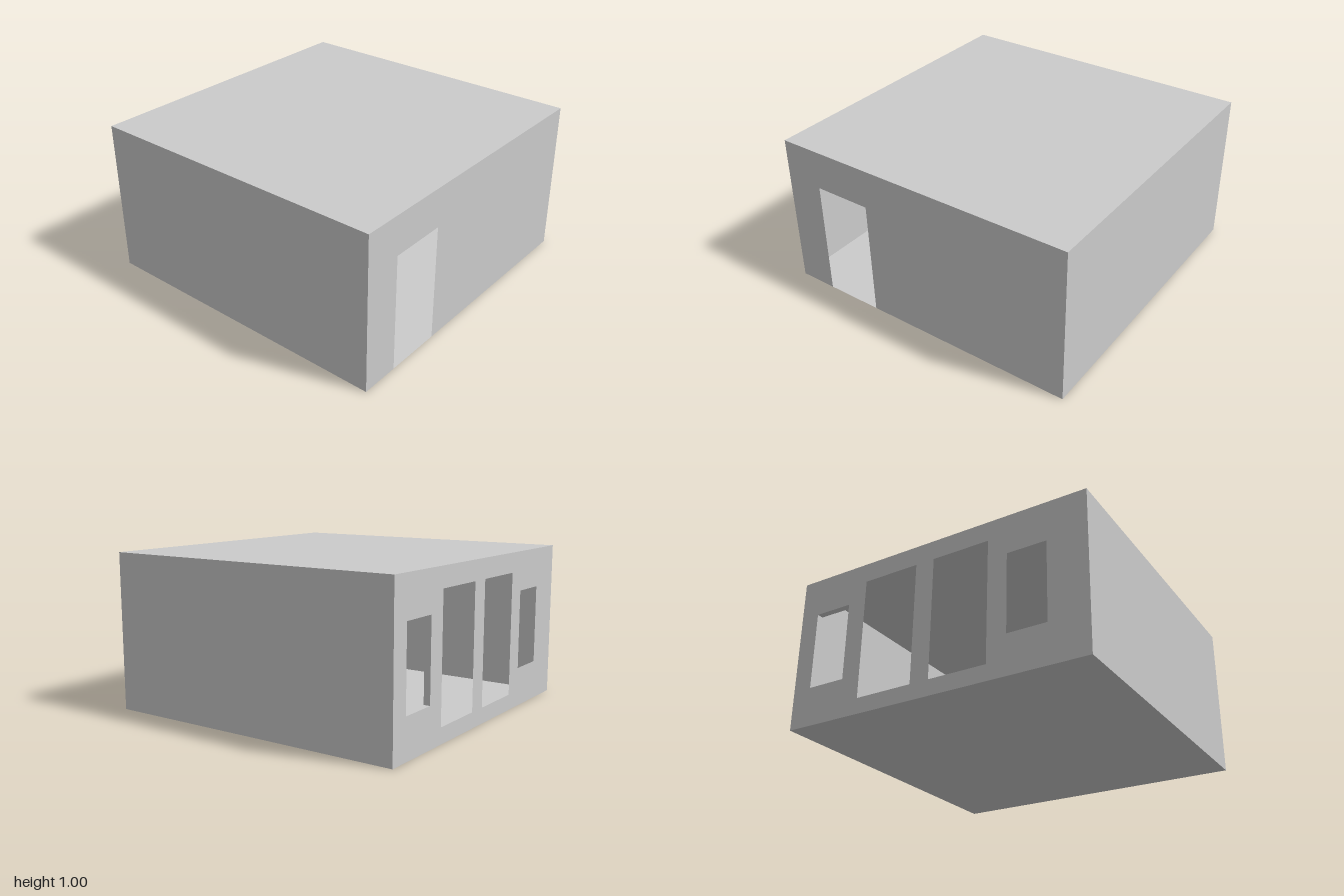
import * as THREE from 'three';

const material = new THREE.MeshStandardMaterial({ color: 0xcccccc, side: THREE.DoubleSide, flatShading: true });

// Closed outline from corner points
function outline(points, Type = THREE.Shape) {
  return new Type(points.map(([x, y]) => new THREE.Vector2(x, y)));
}

function rectangle(x0, x1, y0, y1, Type) {
  return outline([[x0, y0], [x1, y0], [x1, y1], [x0, y1]], Type);
}

function addPanel(group, name, geometry) {
  const mesh = new THREE.Mesh(geometry, material);
  mesh.name = name;
  group.add(mesh);
  return mesh;
}

export function createModel() {
  const room = new THREE.Group();
  room.name = 'room';

  // Floor and roof
  addPanel(room, 'floor', new THREE.PlaneGeometry(2, 2).rotateX(Math.PI / 2));
  addPanel(room, 'roof', new THREE.PlaneGeometry(2, 2).rotateX(-Math.PI / 2).translate(0, 1, 0));

  // Solid front and back walls
  addPanel(room, 'frontWall', new THREE.PlaneGeometry(2, 1).translate(0, 0.5, 1));
  addPanel(room, 'backWall', new THREE.PlaneGeometry(2, 1).rotateY(Math.PI).translate(0, 0.5, -1));

  // Left wall with a doorway down to the floor (shape x runs along -z)
  const doorWall = outline([
    [-1, 0], [-0.75, 0], [-0.75, 0.75], [-0.375, 0.75], [-0.375, 0], [1, 0], [1, 1], [-1, 1],
  ]);
  addPanel(room, 'doorWall', new THREE.ShapeGeometry(doorWall).rotateY(Math.PI / 2).translate(1, 0, 0));

  // Right wall with two windows and two tall openings (shape x runs along +z)
  const windowWall = rectangle(-1, 1, 0, 1);
  const openings = [
    [-0.875, -0.625, 0.25, 0.75],
    [-0.5, -0.125, 0.1, 0.875],
    [0, 0.375, 0.1, 0.875],
    [0.5, 0.75, 0.25, 0.75],
  ];
  for (const o of openings) windowWall.holes.push(rectangle(...o, THREE.Path));
  addPanel(room, 'windowWall', new THREE.ShapeGeometry(windowWall).rotateY(-Math.PI / 2).translate(-1, 0, 0));

  // Shallow reveal around the rear window
  const [z0, z1, y0, y1] = openings[0];
  const depth = 0.04;
  const reveal = new THREE.Group();
  reveal.name = 'windowReveal';
  for (const y of [y0, y1]) {
    addPanel(reveal, y === y0 ? 'sill' : 'lintel', new THREE.PlaneGeometry(depth, z1 - z0)
      .rotateX(y === y0 ? -Math.PI / 2 : Math.PI / 2).translate(-1 + depth / 2, y, (z0 + z1) / 2));
  }
  for (const z of [z0, z1]) {
    addPanel(reveal, 'jamb', new THREE.PlaneGeometry(depth, y1 - y0)
      .rotateY(z === z0 ? 0 : Math.PI).translate(-1 + depth / 2, (y0 + y1) / 2, z));
  }
  room.add(reveal);

  return room;
}
